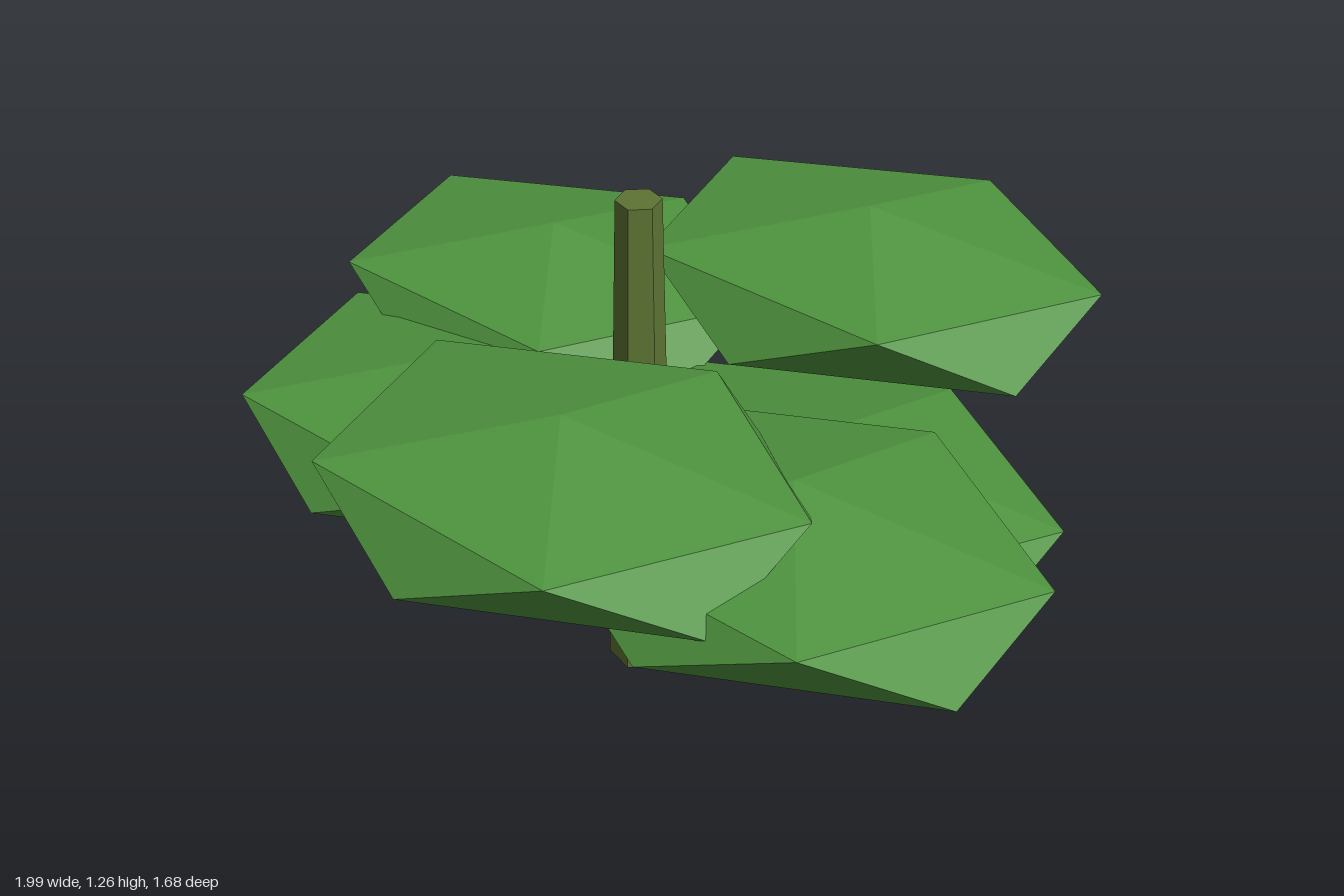
import * as THREE from 'three';

const leafMaterial = new THREE.MeshStandardMaterial({ color: 0x4f943f, flatShading: true });
const barkMaterial = new THREE.MeshStandardMaterial({ color: 0x5e7434, flatShading: true });

// Flattened icosahedron standing on one corner, with an upper corner towards +x
function leafGeometry() {
  const geometry = new THREE.IcosahedronGeometry(1, 0);
  geometry.rotateZ(-Math.atan(2 / (1 + Math.sqrt(5))));
  geometry.scale(0.604, 0.163, 0.464);
  return geometry;
}

export function createModel() {
  const tree = new THREE.Group();
  tree.name = 'tree';

  // Tapered six-sided trunk, slightly off centre
  const trunk = new THREE.Mesh(new THREE.CylinderGeometry(0.05, 0.078, 1.26, 6), barkMaterial);
  trunk.name = 'trunk';
  trunk.position.set(-0.033, 0.63, 0.015);
  tree.add(trunk);

  // Six identical leaf clumps spiralling up around the trunk
  const geometry = leafGeometry();
  const clumps = {
    leafClumpLeft: [0.4, 0.635, 0.01],
    leafClumpRight: [-0.455, 0.635, 0.085],
    leafClumpFrontLeft: [0.455, 0.735, 0.32],
    leafClumpBackRight: [-0.455, 0.735, -0.38],
    leafClumpFront: [0, 0.835, 0.443],
    leafClumpBackLeft: [0.32, 0.935, -0.443],
  };
  for (const [name, position] of Object.entries(clumps)) {
    const clump = new THREE.Mesh(geometry, leafMaterial);
    clump.name = name;
    clump.position.set(...position);
    tree.add(clump);
  }
  return tree;
}
